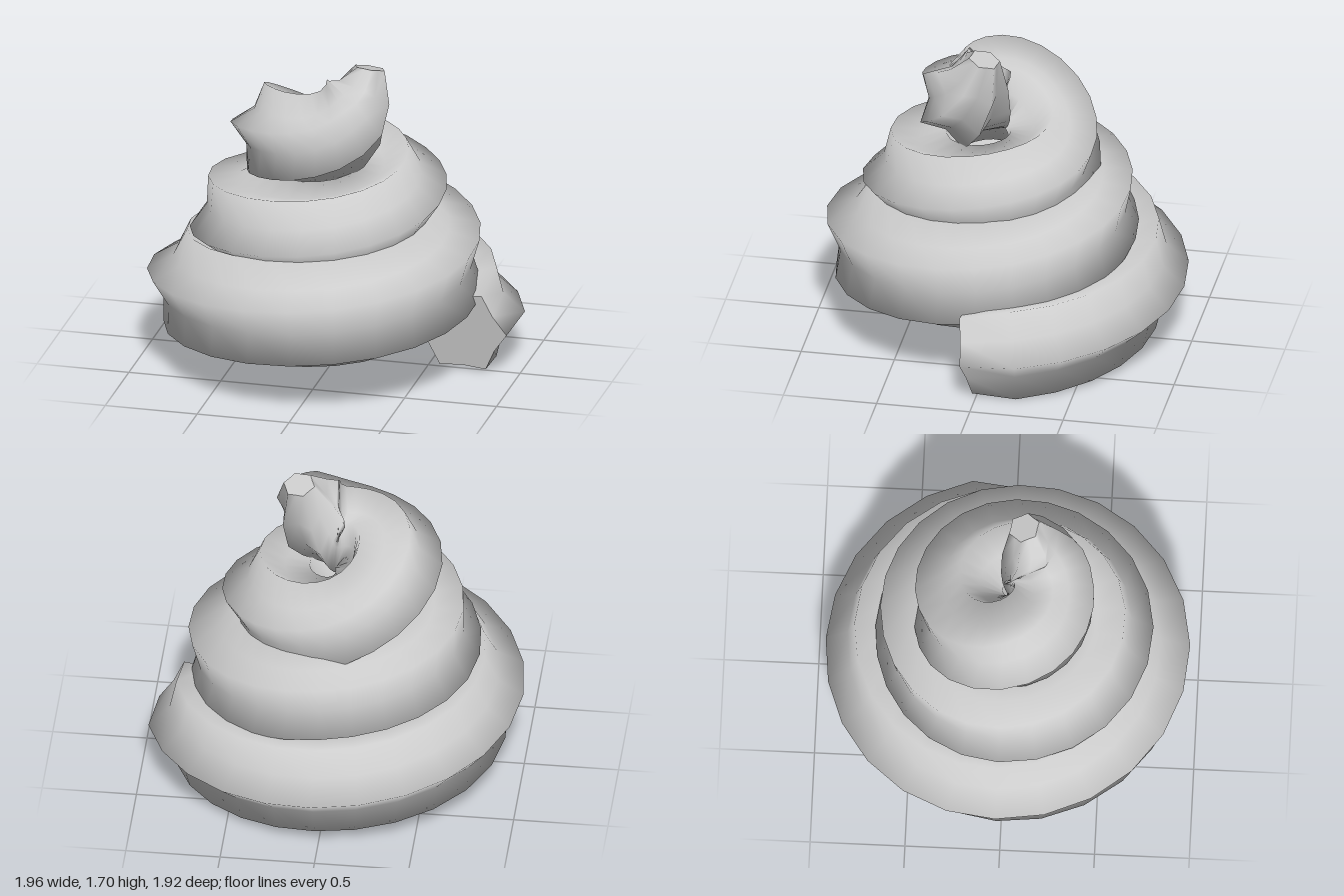
import * as THREE from 'three';

const POINTS = 6;          // star points of the cross-section
const SIDES = POINTS * 2;
const STEP = 15;           // degrees between rings
const END = 1060;          // angle of the tip

// Angle along the spiral: distance from axis, height, star radius, star twist, backward lean
const path = [
  [0, 0.70, 0.27, 0.30, 0, 4],
  [90, 0.66, 0.36, 0.305, 0, 0],
  [180, 0.70, 0.432, 0.305, 12, 0],
  [270, 0.655, 0.51, 0.325, 21, 0],
  [360, 0.495, 0.595, 0.33, 30, 0],
  [450, 0.43, 0.74, 0.30, 35, 0],
  [540, 0.475, 0.805, 0.30, 47, 0],
  [630, 0.465, 0.87, 0.30, 60, 0],
  [720, 0.31, 0.96, 0.30, 74, 0],
  [810, 0.25, 1.06, 0.28, 90, 0],
  [900, 0.285, 1.27, 0.285, 128, 0],
  [990, 0.22, 1.34, 0.265, 150, 6],
  [1020, 0.20, 1.42, 0.26, 158, 22],
  [1045, 0.20, 1.53, 0.19, 165, 48],
  [END, 0.215, 1.70, 0.085, 170, 75],
];

// A star section at the given angle; the lean tips its top back along the path
function starRing(angle, [dist, height, radius, twist, lean], notch) {
  const a = THREE.MathUtils.degToRad(angle);
  const tip = THREE.MathUtils.degToRad(lean);
  const outward = new THREE.Vector3(Math.cos(a), 0, -Math.sin(a));
  const up = new THREE.Vector3(Math.sin(a) * Math.sin(tip), Math.cos(tip), Math.cos(a) * Math.sin(tip));
  const centre = outward.clone().multiplyScalar(dist).setY(height);
  return Array.from({ length: SIDES }, (_, j) => {
    const b = THREE.MathUtils.degToRad(twist) + (j / SIDES) * Math.PI * 2;
    const r = radius * (j % 2 ? notch : 1);
    return centre.clone()
      .addScaledVector(outward, r * Math.cos(b))
      .addScaledVector(up, r * Math.sin(b));
  });
}

function makeGeometry(points, index) {
  const geometry = new THREE.BufferGeometry().setFromPoints(points);
  geometry.setIndex(index);
  geometry.computeVertexNormals();
  return geometry;
}

// Smooth skin over all rings
function coilGeometry(rings) {
  const index = [];
  for (let i = 0; i < rings.length - 1; i++) {
    for (let j = 0; j < SIDES; j++) {
      const a = i * SIDES + j, b = i * SIDES + (j + 1) % SIDES;
      const c = a + SIDES, d = b + SIDES;
      index.push(a, c, b, b, c, d);
    }
  }
  return makeGeometry(rings.flat(), index);
}

// Fan closing one end
function capGeometry(ring, flip) {
  const hub = new THREE.Vector3();
  ring.forEach((p) => hub.addScaledVector(p, 1 / SIDES));
  const index = [];
  for (let j = 0; j < SIDES; j++) {
    const k = (j + 1) % SIDES;
    index.push(SIDES, flip ? k : j, flip ? j : k);
  }
  return makeGeometry([...ring, hub], index);
}

export function createModel() {
  const grey = new THREE.MeshStandardMaterial({ color: 0xcccccc });
  grey.name = 'light grey';

  // Narrowed blunt start, the rising spiral, then the upturned tip
  const profile = new THREE.CubicInterpolant(
    path.map((row) => row[0]), path.flatMap((row) => row.slice(1)), 5);
  const rings = [starRing(-4, [0.69, 0.255, 0.255, 0, 9], 0.82)];
  for (let angle = STEP * 0.9; angle < END - 5; angle += STEP) {
    rings.push(starRing(angle, [...profile.evaluate(angle)], 0.72));
  }
  rings.push(starRing(END, path[path.length - 1].slice(1), 0.85));

  const group = new THREE.Group();
  group.name = 'swirl';
  const add = (name, geometry) => {
    const mesh = new THREE.Mesh(geometry, grey);
    mesh.name = name;
    group.add(mesh);
  };
  add('coil', coilGeometry(rings));
  add('startCap', capGeometry(rings[0], false));
  add('tipCap', capGeometry(rings[rings.length - 1], true));
  return group;
}
